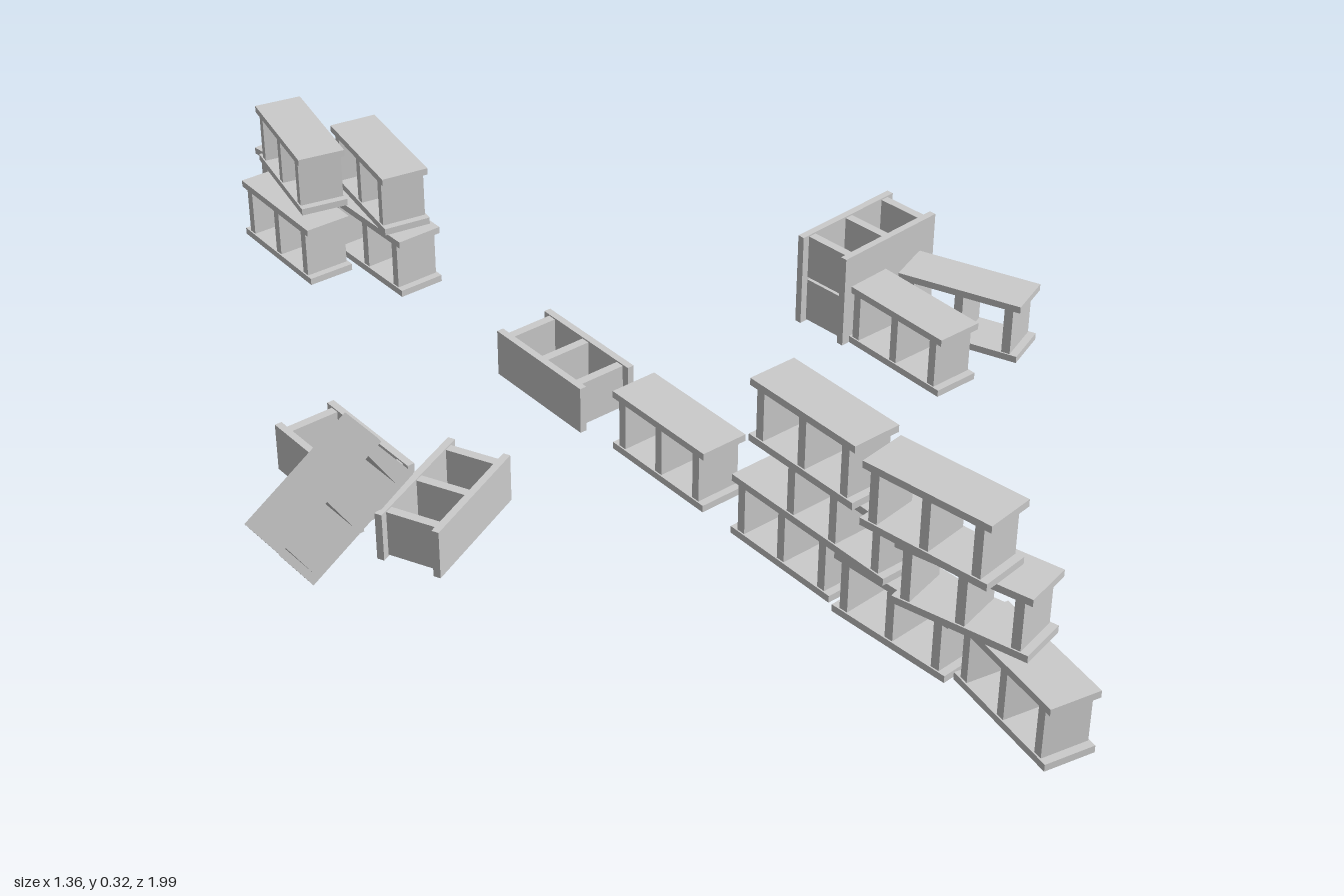
import * as THREE from 'three';

// Block size: length (z), height (y), width (x, the direction of the hollows)
const L = 0.218, H = 0.108, W = 0.083;
const PLATE = 0.012, WEB = 0.015, CORE = 0.192;

const material = new THREE.MeshStandardMaterial({ color: 0xcccccc, flatShading: true });
const plateGeometry = new THREE.BoxGeometry(W, PLATE, L);
const webGeometry = new THREE.BoxGeometry(W - 0.005, H - 2 * PLATE, WEB);

// Hollow block: two overhanging plates joined by three webs
function makeBlock(name) {
  const block = new THREE.Group();
  block.name = name;
  for (const side of [-1, 1]) {
    const plate = new THREE.Mesh(plateGeometry, material);
    plate.name = side > 0 ? 'topPlate' : 'bottomPlate';
    plate.position.y = side * (H - PLATE) / 2;
    block.add(plate);
  }
  for (const i of [-1, 0, 1]) {
    const web = new THREE.Mesh(webGeometry, material);
    web.name = 'web';
    web.position.z = i * (CORE - WEB) / 2;
    block.add(web);
  }
  return block;
}

// Upright blocks: x, z, layer, yaw
const frontStack = [
  [-0.026, 0.42, 0, 0], [-0.029, 0.652, 0, 0.06], [-0.027, 0.88, 0, -0.19],
  [-0.037, 0.538, 1, 0], [-0.029, 0.777, 1, 0.24],
  [-0.053, 0.485, 2, 0], [-0.053, 0.727, 2, 0.137],
];
const backStack = [
  [-0.026, -0.88, 0, 0.1], [-0.026, -0.658, 0, 0], [-0.122, -0.787, 0, -0.03],
  [-0.012, -0.683, 1, -0.18], [-0.08, -0.825, 1, -0.225],
];
const rightUpright = [[0.471, 0.136, 0, 0], [0.598, 0.138, 0, 0.375]];
const middleUpright = [[-0.026, 0.137, 0, 0]];

// Blocks on their side, hollows facing up: x, z, layer, yaw
const middleLying = [[-0.027, -0.146, 0, 0]];
const leftLying = [[-0.452, -0.146, 0, 0], [-0.395, 0.034, 0, -1.14]];
const rightLying = [[0.518, -0.026, 0, 1.645], [0.518, -0.026, 1, 1.645]];

export function createModel() {
  const model = new THREE.Group();
  model.name = 'scatteredBlocks';

  function makePile(name, upright, lying) {
    const pile = new THREE.Group();
    pile.name = name;
    for (const [x, z, layer, yaw] of upright) {
      const block = makeBlock('uprightBlock');
      block.position.set(x, (layer + 0.5) * H, z);
      block.rotation.y = yaw;
      pile.add(block);
    }
    for (const [x, z, layer, yaw] of lying) {
      const block = makeBlock('lyingBlock');
      block.position.set(x, (layer + 0.5) * W, z);
      block.rotation.set(0, yaw, Math.PI / 2, 'YXZ');
      pile.add(block);
    }
    model.add(pile);
    return pile;
  }

  makePile('frontStack', frontStack, []);
  makePile('backStack', backStack, []);
  makePile('middleBlocks', middleUpright, middleLying);
  makePile('rightPile', rightUpright, rightLying);
  const leftPile = makePile('leftPile', [], leftLying);

  // Block leaning on the left pile
  const leaning = makeBlock('leaningBlock');
  leaning.position.set(-0.565, 0.107, -0.013);
  leaning.rotation.set(0, Math.PI / 2, 0.57, 'ZXY');
  leftPile.add(leaning);

  return model;
}
